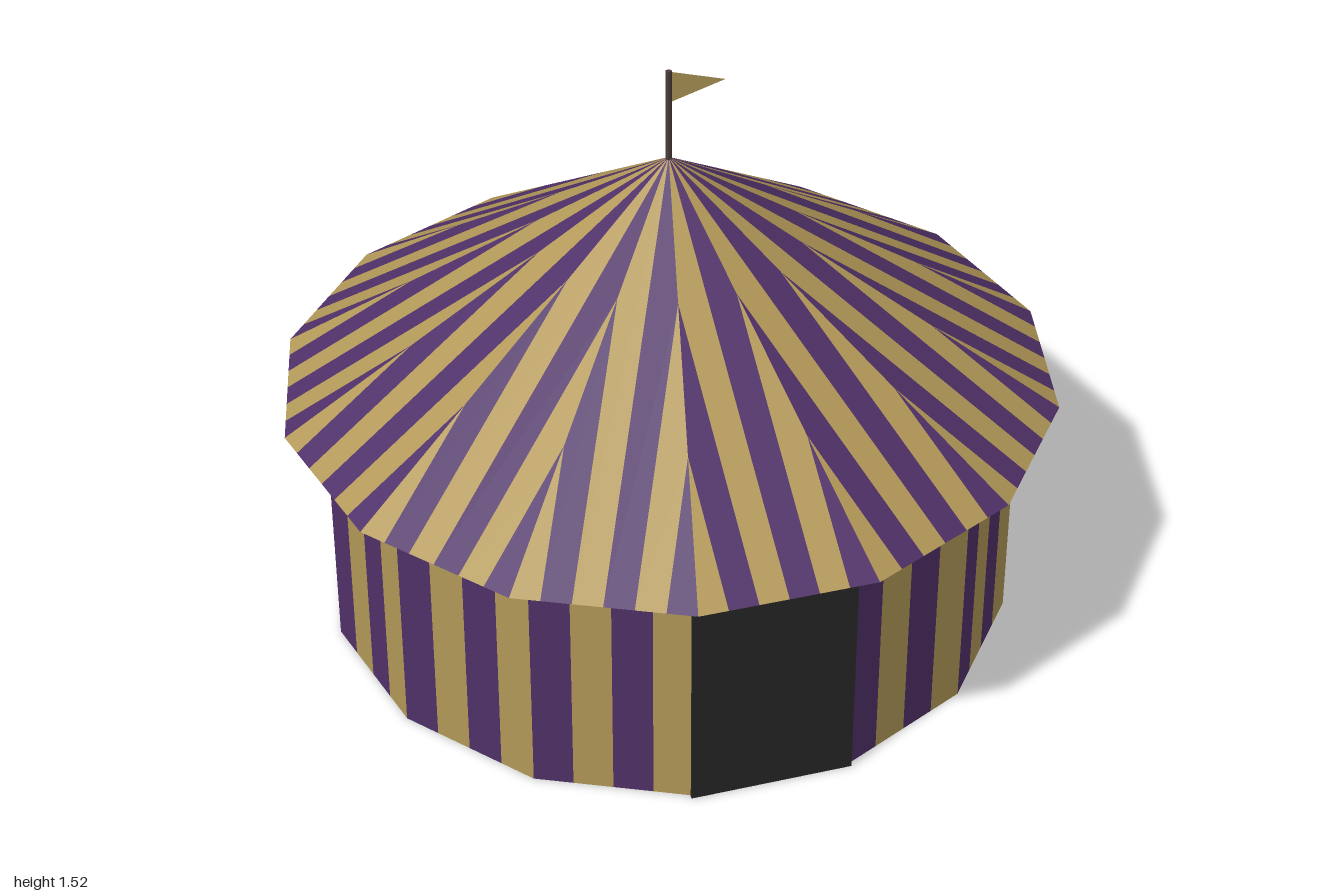
import * as THREE from 'three';

const SIDES = 14, EAVE = 0.643, PEAK = 1.285;

const mat = (name, color, side = THREE.FrontSide) => {
  const m = new THREE.MeshStandardMaterial({ color, side });
  m.name = name;
  return m;
};

// Point on the ring of tent corners; corner 0 is on +x, counting towards +z
const corner = (i, r, y) => {
  const a = (i / SIDES) * Math.PI * 2;
  return new THREE.Vector3(Math.cos(a) * r, y, Math.sin(a) * r);
};

// Flat panels cut into upright stripes of two alternating cloths.
// riseAt(t) is the stripe height at t (-1..1 across the panel), along the vector to `top`.
function stripedRing(name, radius, baseY, topOf, riseAt, count, cloths) {
  const group = new THREE.Group();
  group.name = name;
  const points = [[], []];
  for (let i = 0; i < SIDES; i++) {
    const a = corner(i, radius, baseY), b = corner(i + 1, radius, baseY);
    const mid = a.clone().add(b).multiplyScalar(0.5);
    const half = b.clone().sub(mid);
    const up = topOf(mid).sub(mid);
    const at = (t, s) => mid.clone().addScaledVector(half, t).addScaledVector(up, s);
    for (let k = 0; k < count; k++) {
      const t0 = (k / count) * 2 - 1, t1 = ((k + 1) / count) * 2 - 1;
      const r0 = riseAt(t0), r1 = riseAt(t1);
      const p0 = at(t0, 0), p1 = at(t1, 0), q0 = at(t0, r0), q1 = at(t1, r1);
      const list = points[k % 2];
      if (r0 > 1e-6) list.push(p1, p0, q0);
      if (r1 > 1e-6) list.push(p1, q0, q1);
    }
  }
  points.forEach((list, n) => {
    const geo = new THREE.BufferGeometry().setFromPoints(list);
    geo.computeVertexNormals();
    const mesh = new THREE.Mesh(geo, cloths[n]);
    mesh.name = `${name}${n ? 'Odd' : 'Even'}Stripes`;
    group.add(mesh);
  });
  return group;
}

export function createModel() {
  const gold = mat('goldCloth', 0xb29858, THREE.DoubleSide);
  const purple = mat('purpleCloth', 0x4f3068, THREE.DoubleSide);
  const dark = mat('doorwayBlack', 0x252525);
  const wood = mat('poleBrown', 0x4a3c3c);

  const tent = new THREE.Group();
  tent.name = 'stripedTent';
  const add = (name, geo, material) => {
    const mesh = new THREE.Mesh(geo, material);
    mesh.name = name;
    tent.add(mesh);
    return mesh;
  };

  // Open-bottomed wall: four stripes per panel
  tent.add(stripedRing('wall', 0.895, 0, (m) => m.clone().setY(EAVE), () => 1, 4, [gold, purple]));

  // Pointed roof: six parallel stripes per panel, trimmed by the seams
  tent.add(stripedRing('roof', 1, EAVE, () => new THREE.Vector3(0, PEAK, 0),
    (t) => 1 - Math.abs(t), 6, [purple, gold]));

  // Doorway plate on the front panel
  add('doorway', new THREE.BoxGeometry(0.414, 0.6, 0.008), dark).position.set(0, 0.3, 0.8775);

  // Flagpole and pennant
  add('flagpole', new THREE.CylinderGeometry(0.008, 0.008, 0.25, 8), wood).position.set(0, 1.4, 0);
  const pennant = new THREE.Shape([[0.004, 1.522], [0.004, 1.438], [0.145, 1.48]]
    .map(([x, y]) => new THREE.Vector2(x, y)));
  add('pennant', new THREE.ShapeGeometry(pennant), gold);

  return tent;
}
